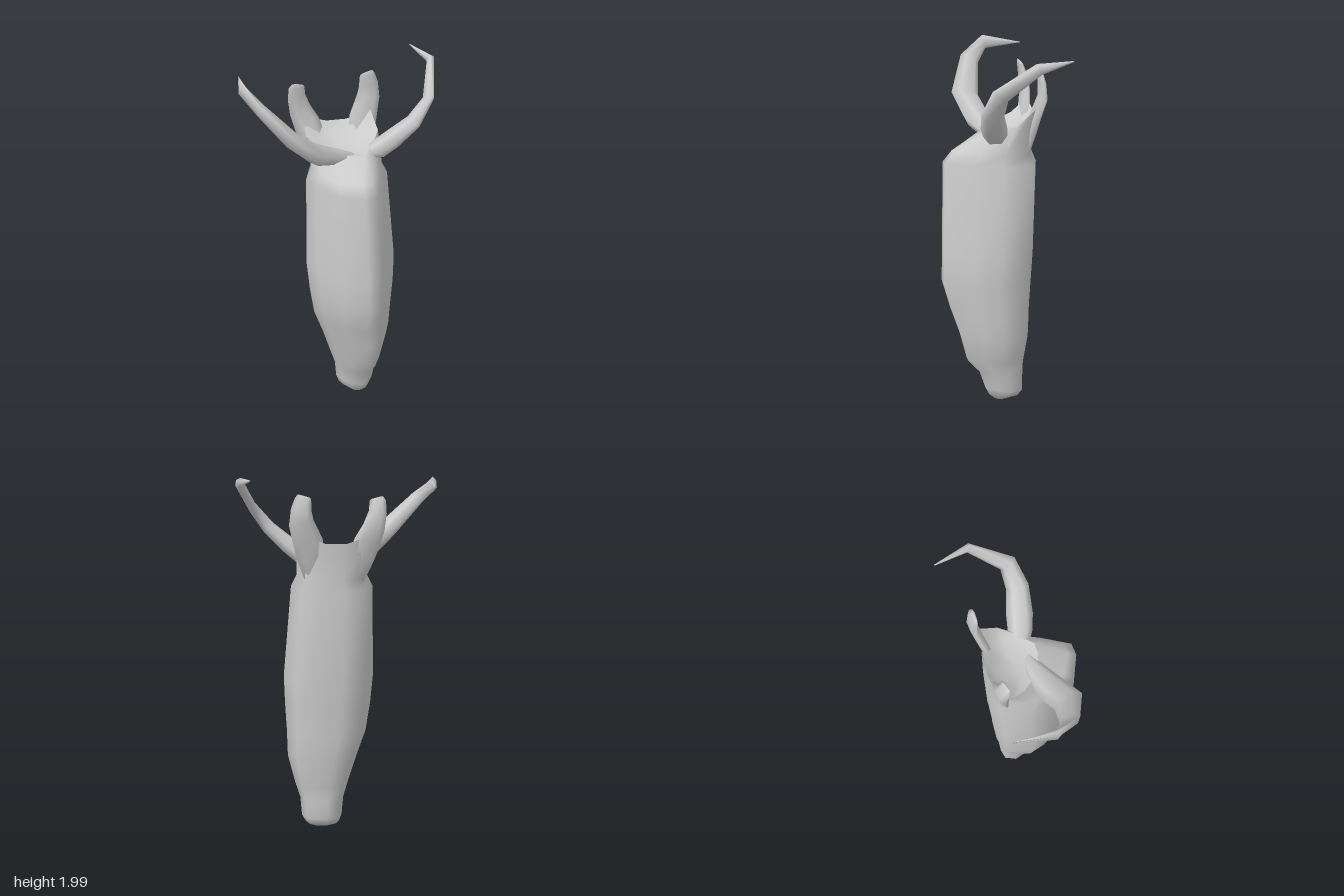
import * as THREE from 'three';

const material = new THREE.MeshStandardMaterial({ color: 0xcccccc, side: THREE.DoubleSide });

// Skin a list of closed rings; both ends can be closed with a centre point.
function loft(name, rings, capStart = true, capEnd = true) {
  const n = rings[0].length, pos = [], index = [];
  rings.forEach(r => r.forEach(p => pos.push(p.x, p.y, p.z)));
  for (let i = 0; i < rings.length - 1; i++) {
    for (let j = 0; j < n; j++) {
      const k = (j + 1) % n, a = i * n + j, b = i * n + k;
      index.push(a, b, b + n, a, b + n, a + n);
    }
  }
  const cap = (ring, base, flip) => {
    const c = ring.reduce((s, p) => s.add(p), new THREE.Vector3()).divideScalar(n);
    const id = pos.length / 3;
    pos.push(c.x, c.y, c.z);
    for (let j = 0; j < n; j++) {
      const a = base + j, b = base + (j + 1) % n;
      index.push(...(flip ? [b, a, id] : [a, b, id]));
    }
  };
  if (capStart) cap(rings[0], 0, true);
  if (capEnd) cap(rings[rings.length - 1], (rings.length - 1) * n, false);
  const g = new THREE.BufferGeometry();
  g.setAttribute('position', new THREE.Float32BufferAttribute(pos, 3));
  g.setIndex(index);
  g.computeVertexNormals();
  const mesh = new THREE.Mesh(g, material);
  mesh.name = name;
  return mesh;
}

// Irregular body outline seen from above, in a -1..1 box (x, z)
const outline = [
  [1, -0.3], [0.7, -0.95], [0.2, -1], [-0.35, -0.97], [-0.82, -0.8], [-1, -0.2],
  [-0.82, 0.22], [-0.35, 0.8], [0.2, 0.98], [0.5, 0.93], [0.8, 0.3],
];

// One body ring fitted to x and z limits, tilted from back to front;
// lift raises and spreads the two back corners.
function bodyRing([x0, x1, z0, z1, y, tilt = 0, lift = 0]) {
  return outline.map(([u, v]) => {
    const corner = Math.abs(u) > 0.6 && v < -0.7 ? lift : 0;
    return new THREE.Vector3(
      (x0 + x1) / 2 + u * (1 + corner * 5) * (x1 - x0) / 2,
      y + tilt * v + corner,
      (z0 + z1) / 2 + v * (z1 - z0) / 2);
  });
}

// Tapering blade along a path of [x, y, z, halfWidth, halfThickness];
// the width runs along the given direction.
function blade(name, path, widthDir) {
  const pts = path.map(p => new THREE.Vector3(p[0], p[1], p[2]));
  const sides = 6;
  const rings = pts.map((p, i) => {
    const t = pts[Math.min(i + 1, pts.length - 1)].clone()
      .sub(pts[Math.max(i - 1, 0)]).normalize();
    const v = t.clone().cross(widthDir).normalize();
    const u = v.clone().cross(t);
    return Array.from({ length: sides }, (_, k) => {
      const a = k / sides * Math.PI * 2;
      return p.clone().addScaledVector(u, Math.cos(a) * path[i][3])
        .addScaledVector(v, Math.sin(a) * path[i][4]);
    });
  });
  return loft(name, rings);
}

export function createModel() {
  const model = new THREE.Group();
  model.name = 'budWithCurledTips';

  // Long pod with a narrow stub at the bottom and a sloping shoulder on top
  const rim = [-0.18, 0.215, -0.175, 0.115, 1.595, -0.05, 0.05];
  model.add(loft('body', [
    [0.05, 0.13, -0.01, 0.05, 0.0],
    [-0.01, 0.18, -0.085, 0.085, 0.035],
    [-0.025, 0.2, -0.11, 0.105, 0.075],
    [-0.035, 0.21, -0.11, 0.14, 0.18],
    [-0.06, 0.24, -0.115, 0.21, 0.26],
    [-0.11, 0.28, -0.14, 0.25, 0.42],
    [-0.16, 0.285, -0.145, 0.3, 0.56],
    [-0.185, 0.295, -0.155, 0.345, 0.72],
    [-0.2, 0.3, -0.165, 0.342, 0.88],
    [-0.195, 0.255, -0.18, 0.33, 1.39],
    [-0.165, 0.225, -0.155, 0.28, 1.45],
    rim,
  ].map(bodyRing), true, false));

  // Shallow hollow between the tips
  model.add(loft('hollow', [
    rim,
    [-0.12, 0.17, -0.13, 0.08, 1.57, -0.03],
    [-0.04, 0.09, -0.06, 0.04, 1.55, -0.01],
  ].map(bodyRing), false, true));

  // Two long front tips that curl backwards
  model.add(blade('rightFrontTip', [
    [0.06, 1.52, 0.05, 0.03, 0.02],
    [-0.04, 1.54, 0.08, 0.06, 0.045],
    [-0.15, 1.58, 0.13, 0.08, 0.06],
    [-0.28, 1.69, 0.195, 0.08, 0.045],
    [-0.44, 1.86, 0.165, 0.055, 0.032],
    [-0.525, 1.945, 0.08, 0.04, 0.02],
    [-0.525, 1.94, -0.13, 0.003, 0.003],
  ], new THREE.Vector3(0.3, 0.2, 1)));
  model.add(blade('leftFrontTip', [
    [0.12, 1.52, 0.03, 0.04, 0.02],
    [0.2, 1.555, 0.045, 0.065, 0.05],
    [0.27, 1.61, 0.055, 0.07, 0.048],
    [0.38, 1.705, 0.065, 0.06, 0.038],
    [0.465, 1.82, 0.03, 0.05, 0.025],
    [0.515, 1.965, -0.16, 0.03, 0.022],
    [0.44, 1.99, -0.34, 0.003, 0.003],
  ], new THREE.Vector3(0, 0, 1)));

  // Two short, flat back tips that grow out of the neck
  model.add(blade('rightBackTip', [
    [-0.1, 1.44, -0.105, 0.05, 0.015],
    [-0.13, 1.56, -0.115, 0.075, 0.025],
    [-0.165, 1.65, -0.13, 0.075, 0.024],
    [-0.2, 1.73, -0.135, 0.062, 0.024],
    [-0.22, 1.81, -0.125, 0.05, 0.022],
    [-0.22, 1.87, -0.11, 0.045, 0.012],
    [-0.215, 1.885, -0.105, 0.035, 0.006],
  ], new THREE.Vector3(1, 0, -0.25)));
  model.add(blade('leftBackTip', [
    [0.12, 1.44, -0.12, 0.05, 0.015],
    [0.135, 1.56, -0.145, 0.075, 0.025],
    [0.15, 1.65, -0.17, 0.08, 0.024],
    [0.185, 1.76, -0.205, 0.067, 0.022],
    [0.185, 1.83, -0.2, 0.055, 0.02],
    [0.175, 1.88, -0.193, 0.045, 0.012],
    [0.17, 1.9, -0.188, 0.035, 0.006],
  ], new THREE.Vector3(1, 0, -0.2)));

  return model;
}
